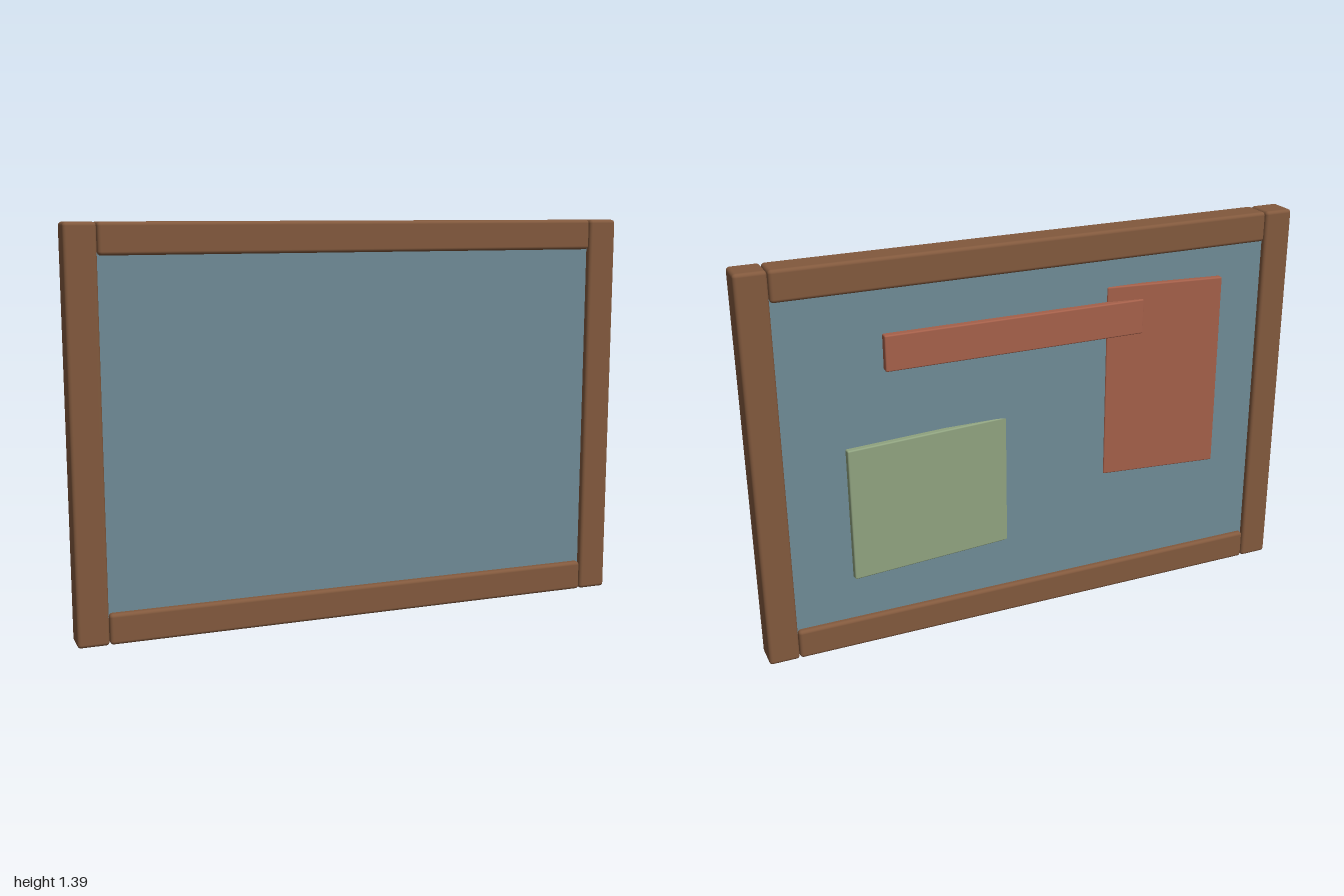
import * as THREE from 'three';
import { RoundedBoxGeometry } from 'three/addons/geometries/RoundedBoxGeometry.js';

const WOOD = 0x82593d, PANEL = 0x6f8b96, GREEN = 0x8fa27f, RED = 0xa5604a;

export function createModel() {
  const model = new THREE.Group();
  model.name = 'framedBoard';

  // Softly rounded slab, placed by its centre
  function slab(name, color, size, position, radius, turn = 0) {
    const mesh = new THREE.Mesh(
      new RoundedBoxGeometry(...size, 3, radius),
      new THREE.MeshStandardMaterial({ color })
    );
    mesh.name = name;
    mesh.position.set(...position);
    mesh.rotation.y = turn;
    model.add(mesh);
  }

  const height = 1.39, bar = 0.106, depth = 0.105, midZ = 0.0155;

  // Frame: two full-height posts with rails fitted between them
  for (const side of [1, -1]) {
    slab(side > 0 ? 'leftPost' : 'rightPost', WOOD,
      [bar, height, depth], [side * (1 - bar / 2), height / 2, midZ], 0.012);
    slab(side > 0 ? 'topRail' : 'bottomRail', WOOD,
      [1.784, bar, depth], [0, height / 2 + side * (height - bar) / 2, midZ], 0.012);
  }

  // Recessed board, its edges tucked into the frame
  const board = new THREE.Mesh(
    new THREE.BoxGeometry(1.82, 1.22, 0.062),
    new THREE.MeshStandardMaterial({ color: PANEL })
  );
  board.name = 'board';
  board.position.set(0, height / 2, 0.014);
  model.add(board);

  // Cards on the back, each leaning out at its outer edge
  slab('greenCard', GREEN, [0.6, 0.48, 0.025], [0.392, 0.525, -0.031], 0.005, 0.093);
  slab('redCard', RED, [0.43, 0.71, 0.025], [-0.49, 0.83, -0.034], 0.005, -0.122);

  // Flat strip across the upper back
  slab('redStrip', RED, [0.945, 0.125, 0.03], [0.065, 1.07, -0.028], 0.005);

  return model;
}
